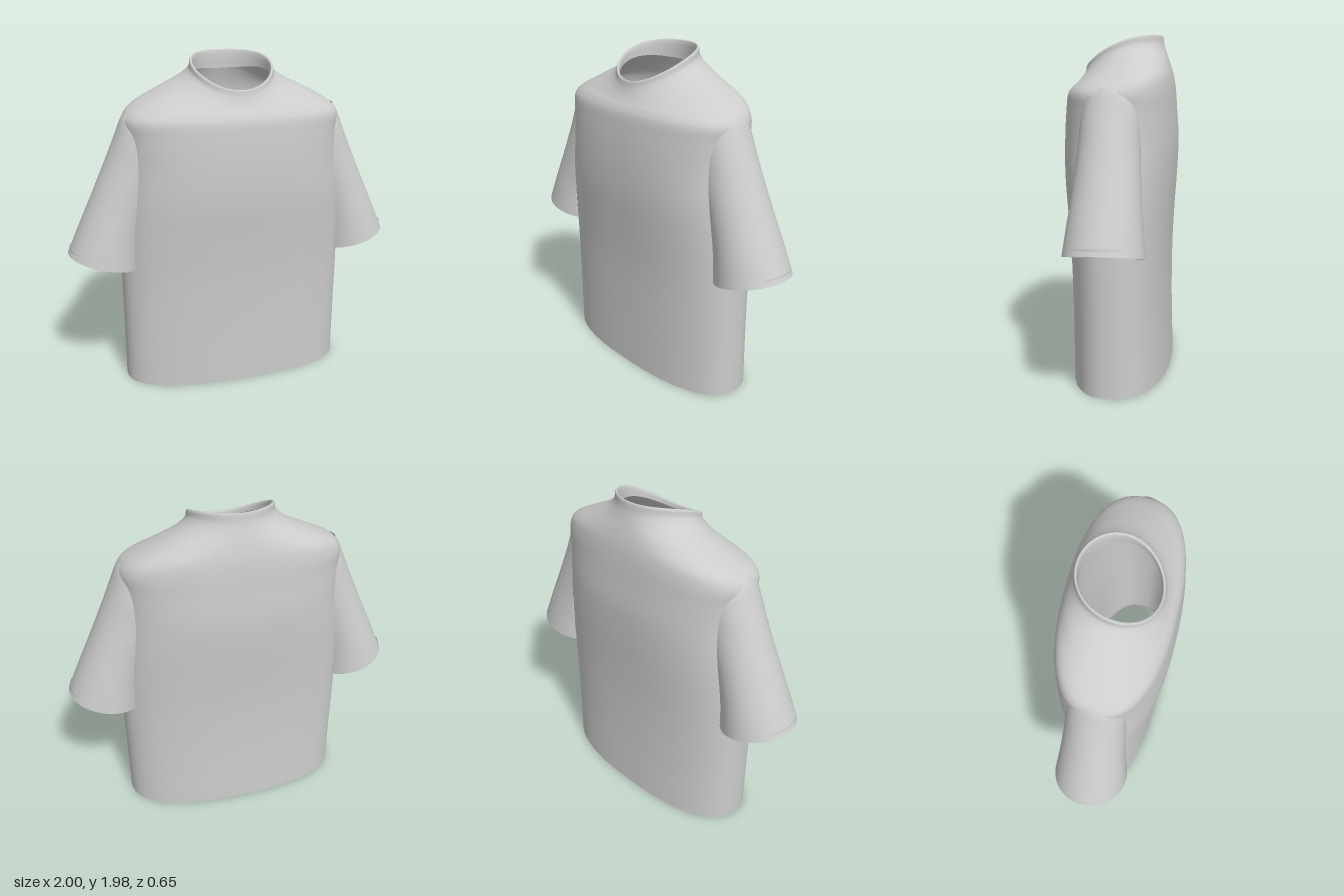
import * as THREE from 'three';

const fabric = new THREE.MeshStandardMaterial({ color: 0xcccccc, side: THREE.DoubleSide });
fabric.name = 'light grey fabric';

// Skin rows of points (listed bottom to top) into a smooth surface
function skin(name, rows, closed) {
  const n = rows[0].length, index = [];
  for (let r = 0; r < rows.length - 1; r++) {
    for (let c = 0; c < (closed ? n : n - 1); c++) {
      const a = r * n + c, d = r * n + (c + 1) % n;
      index.push(a, a + n, d, d, a + n, d + n);
    }
  }
  const g = new THREE.BufferGeometry().setFromPoints(rows.flat());
  g.setIndex(index);
  g.computeVertexNormals();
  const mesh = new THREE.Mesh(g, fabric);
  mesh.name = name;
  return mesh;
}

// Add smooth in-between rows by running a spline up every column
function refine(rows, steps) {
  const count = (rows.length - 1) * steps;
  const columns = rows[0].map((_, c) => new THREE.CatmullRomCurve3(rows.map(r => r[c])));
  return Array.from({ length: count + 1 }, (_, i) => columns.map(k => k.getPoint(i / count)));
}

// Closed ring: half width, front and back depth, heights at front, side and back, squareness
function ring([w, front, back, yf, ys, yb, power = 2.4]) {
  const pts = [], N = 96;
  for (let i = 0; i < N; i++) {
    const a = i / N * Math.PI * 2, c = Math.cos(a), s = Math.sin(a);
    const x = Math.sign(c) * Math.abs(c) ** (2 / power);
    const z = Math.sign(s) * Math.abs(s) ** (2 / power);
    const y = ys + (yf - yb) / 2 * z + ((yf + yb) / 2 - ys) * z * z;
    pts.push(new THREE.Vector3(w * x, y, (z > 0 ? front : back) * z));
  }
  return pts;
}
const level = (y, w, front, back) => [w, front, back, y, y, y];

// Sleeve slice: outer x and y, inner x, half depth, sweep angle in degrees
function slice([xo, yo, xe, depth, sweep], side, inset = 0, lift = 0) {
  const pts = [], N = 40, A = sweep * Math.PI / 180;
  for (let i = 0; i <= N; i++) {
    const phi = side * A * (2 * i / N - 1);
    const f = (Math.cos(phi) - Math.cos(A)) / (1 - Math.cos(A));
    const x = xe + (xo - inset - xe) * f;
    const y = yo + 0.25 * (x - xo) + lift;
    pts.push(new THREE.Vector3(side * x, y, (depth - inset) * Math.sin(phi)));
  }
  return pts;
}

export function createModel() {
  const shirt = new THREE.Group();
  shirt.name = 'shirt';

  // Torso, shoulders and neck
  const torso = [
    level(0, 0.69, 0.27, 0.3),
    level(0.4, 0.69, 0.275, 0.29),
    level(0.72, 0.69, 0.285, 0.292),
    level(0.95, 0.685, 0.303, 0.303),
    level(1.18, 0.668, 0.323, 0.318),
    level(1.38, 0.645, 0.325, 0.325),
    level(1.55, 0.643, 0.315, 0.314),
    [0.645, 0.303, 0.306, 1.64, 1.635, 1.66],
    [0.61, 0.285, 0.295, 1.675, 1.685, 1.74],
    [0.45, 0.262, 0.278, 1.705, 1.77, 1.81, 2.3],
    [0.3, 0.24, 0.255, 1.745, 1.845, 1.88, 2.1],
    [0.25, 0.23, 0.24, 1.775, 1.89, 1.93, 2],
    [0.243, 0.226, 0.234, 1.797, 1.922, 1.97, 2]
  ];
  shirt.add(skin('torso', refine(torso.map(ring), 5), true));

  // Rolled collar edge and its inner facing
  const collar = [
    [0.243, 0.226, 0.234, 1.797, 1.922, 1.97, 2],
    [0.237, 0.222, 0.23, 1.805, 1.932, 1.98, 2],
    [0.227, 0.212, 0.22, 1.802, 1.928, 1.976, 2],
    [0.224, 0.209, 0.217, 1.775, 1.87, 1.87, 2]
  ];
  shirt.add(skin('collar', refine(collar.map(ring), 3), true));

  // Turned-up bottom hem
  const hem = [level(0.05, 0.682, 0.262, 0.292), level(0.002, 0.682, 0.262, 0.292), level(0, 0.69, 0.27, 0.3)];
  shirt.add(skin('bottomHem', hem.map(ring), true));

  // Flared sleeves, open where they run into the torso
  const arm = [
    [1.0, 0.86, 0.63, 0.217, 136],
    [0.935, 1.005, 0.63, 0.2, 128],
    [0.845, 1.2, 0.61, 0.18, 112],
    [0.755, 1.4, 0.57, 0.167, 98],
    [0.69, 1.55, 0.555, 0.155, 92],
    [0.652, 1.64, 0.55, 0.13, 90],
    [0.63, 1.675, 0.55, 0.09, 90]
  ];
  for (const side of [1, -1]) {
    const label = side > 0 ? 'left' : 'right';
    shirt.add(skin(label + 'Sleeve', refine(arm.map(s => slice(s, side)), 5), false));
    const cuff = [slice(arm[0], side, 0.012, 0.04), slice(arm[0], side, 0.006), slice(arm[0], side)];
    shirt.add(skin(label + 'Cuff', cuff, false));
  }
  return shirt;
}
